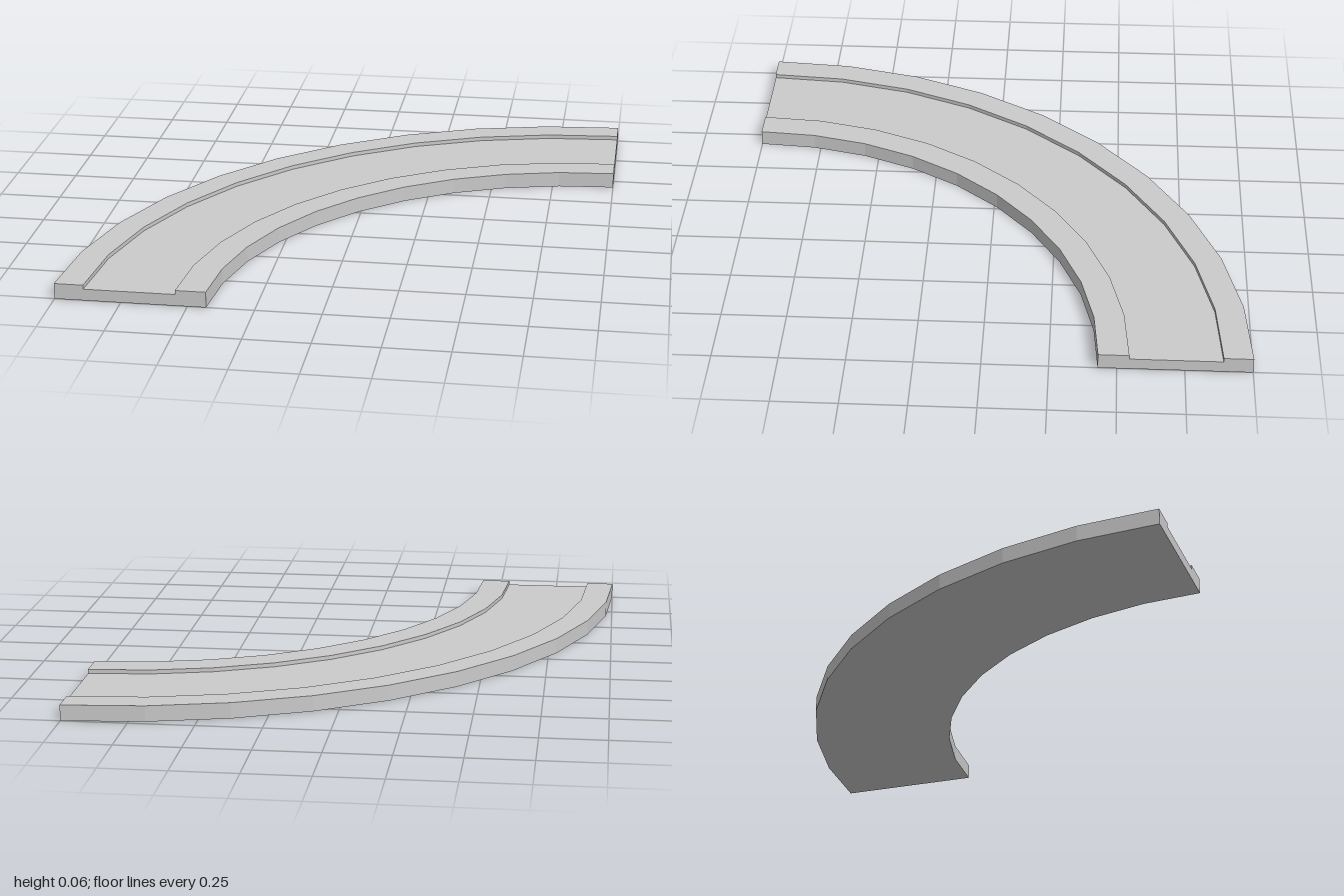
import * as THREE from 'three';
import { mergeGeometries } from 'three/addons/utils/BufferGeometryUtils.js';

const SEGMENTS = 10;
const INNER = 1.43, ROAD_IN = 1.545, ROAD_OUT = 1.89, OUTER = 2;
const ROAD_Y = 0.045, KERB_Y = 0.061;

const material = new THREE.MeshStandardMaterial({ color: 0xcccccc, flatShading: true });

// Sweeps a counter-clockwise (radius, height) outline through the quarter bend.
// Edges listed in joined lie against a neighbouring part and are left out.
function sweep(name, outline, joined) {
  const points = outline.map(([r, y]) => new THREE.Vector2(r, y));
  const pieces = [];
  points.forEach((p, i) => {
    if (joined.includes(i)) return;
    const next = points[(i + 1) % points.length];
    pieces.push(new THREE.LatheGeometry([p, next], SEGMENTS, Math.PI, Math.PI / 2));
  });
  // End caps: one faces +x, the other +z
  const mirrored = points.map((p) => new THREE.Vector2(-p.x, p.y));
  pieces.push(new THREE.ShapeGeometry(new THREE.Shape(points)).rotateY(Math.PI / 2));
  pieces.push(new THREE.ShapeGeometry(new THREE.Shape(mirrored)));

  const geometry = mergeGeometries(pieces.map((g) => g.toNonIndexed()));
  geometry.computeVertexNormals();
  geometry.translate(1, 0, 1); // centre of the bend
  const mesh = new THREE.Mesh(geometry, material);
  mesh.name = name;
  return mesh;
}

export function createModel() {
  const group = new THREE.Group();
  group.name = 'curvedRoad';

  // Sunken road surface and its underside
  group.add(sweep('roadBed', [
    [ROAD_IN, 0], [ROAD_OUT, 0], [ROAD_OUT, ROAD_Y], [ROAD_IN, ROAD_Y],
  ], [1, 3]));

  // Raised kerbs on both sides
  group.add(sweep('innerKerb', [
    [INNER, 0], [ROAD_IN, 0], [ROAD_IN, ROAD_Y], [ROAD_IN, KERB_Y], [INNER, KERB_Y],
  ], [1]));
  group.add(sweep('outerKerb', [
    [ROAD_OUT, 0], [OUTER, 0], [OUTER, KERB_Y], [ROAD_OUT, KERB_Y], [ROAD_OUT, ROAD_Y],
  ], [4]));

  return group;
}
